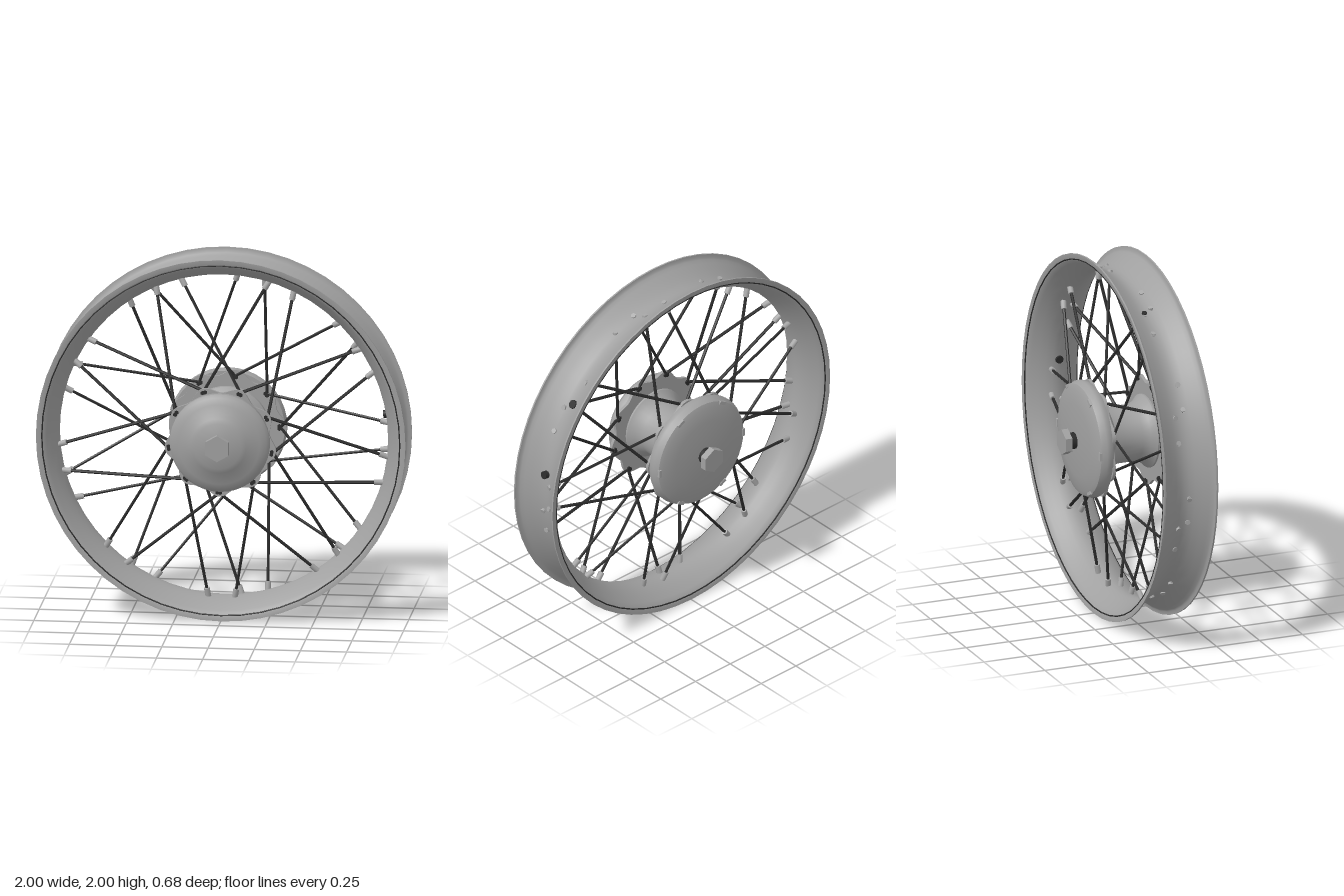
import * as THREE from 'three';
import { toCreasedNormals } from 'three/addons/utils/BufferGeometryUtils.js';

const mat = (name, color) => {
  const m = new THREE.MeshStandardMaterial({ color });
  m.name = name;
  return m;
};

export function createModel() {
  const metal = mat('grey metal', 0xa0a0a0);
  const bright = mat('nipple metal', 0xa8a8a8);
  const dark = mat('dark steel', 0x2c2c2c);

  const model = new THREE.Group();
  const wheel = new THREE.Group(); // wheel axis runs along z
  wheel.name = 'wheel';
  wheel.position.y = 1;
  model.add(wheel);

  const add = (name, geo, material, parent = wheel) => {
    const mesh = new THREE.Mesh(geo, material);
    mesh.name = name;
    parent.add(mesh);
    return mesh;
  };
  // Turned part: points are [radius, z], listed from back to front
  const turned = (name, pts, sides, material = metal) => {
    const geo = new THREE.LatheGeometry(pts.map(([r, z]) => new THREE.Vector2(r, z)), sides);
    geo.rotateX(Math.PI / 2);
    return add(name, toCreasedNormals(geo, 0.6), material);
  };
  // Rod between two points
  const rod = (name, a, b, radius, sides, material, parent) => {
    const geo = new THREE.CylinderGeometry(radius, radius, a.distanceTo(b), sides);
    const mesh = add(name, toCreasedNormals(geo, 1.1), material, parent);
    mesh.position.copy(a).add(b).multiplyScalar(0.5);
    mesh.quaternion.setFromUnitVectors(new THREE.Vector3(0, 1, 0), b.clone().sub(a).normalize());
    return mesh;
  };
  const polar = (r, deg, z) => {
    const t = THREE.MathUtils.degToRad(deg);
    return new THREE.Vector3(r * Math.cos(t), r * Math.sin(t), z);
  };

  // Rim: thin trough section with raised lips
  const half = [[0.905, 0], [0.908, 0.025], [0.92, 0.055], [0.94, 0.09], [0.96, 0.12], [0.972, 0.138], [0.982, 0.145], [1, 0.147]];
  const outer = [...half.slice(1).reverse().map(([r, z]) => [r, -z]), ...half];
  const halfIn = [[0.888, 0], [0.891, 0.025], [0.903, 0.06], [0.923, 0.095], [0.945, 0.127], [0.96, 0.146], [0.975, 0.154], [1, 0.156]];
  const inner = [...halfIn.slice(1).reverse(), ...halfIn.map(([r, z]) => [r, -z])];
  turned('rim', [...outer, ...inner, outer[0]], 56);
  // Dark seam inside each lip
  for (const s of [-1, 1]) {
    add('rimSeam', new THREE.TorusGeometry(0.969, 0.004, 6, 56), dark).position.z = s * 0.151;
  }

  // Hub barrel with a stepped shoulder at the back
  turned('hubBarrel', [[0, -0.17], [0.23, -0.17], [0.23, -0.125], [0.2, -0.11], [0.17, -0.09], [0.155, -0.04],
    [0.155, 0.07], [0.17, 0.11], [0.2, 0.14], [0.2, 0.17], [0, 0.17]], 36);
  // Front cover: bell with a flat nose
  turned('frontCover', [[0, 0.165], [0.265, 0.165], [0.27, 0.175], [0.27, 0.205], [0.255, 0.225], [0.22, 0.238],
    [0.18, 0.254], [0.15, 0.27], [0.125, 0.283], [0, 0.285]], 40);
  // Back cover: shallow dome
  turned('backCover', [[0, -0.266], [0.1, -0.264], [0.2, -0.257], [0.28, -0.246], [0.305, -0.235], [0.32, -0.205],
    [0.32, -0.185], [0.31, -0.165], [0, -0.165]], 40);

  // Scalloped spoke flanges with nine lobes
  const flange = (name, z, lobeAngle, base, wave) => {
    const pts = [];
    for (let i = 0; i < 108; i++) {
      const a = (i / 108) * 360;
      const p = polar(base + wave * Math.cos(THREE.MathUtils.degToRad(9 * (a - lobeAngle))), a, 0);
      pts.push(new THREE.Vector2(p.x, p.y));
    }
    const geo = new THREE.ExtrudeGeometry(new THREE.Shape(pts), { depth: 0.018, bevelEnabled: false });
    geo.translate(0, 0, z);
    add(name, toCreasedNormals(geo, 0.6), metal);
  };
  flange('frontFlange', 0.15, 29, 0.287, 0.018);
  flange('backFlange', -0.168, 1, 0.305, 0.018);

  // Small clips around the back cover
  for (let i = 0; i < 6; i++) {
    const clip = add('coverClip', new THREE.BoxGeometry(0.018, 0.045, 0.022), bright);
    clip.position.copy(polar(0.298, i * 60, -0.234));
    clip.rotation.z = (i * Math.PI) / 3;
  }

  // Axle ends and hexagonal nuts
  for (const [side, s] of [['front', 1], ['back', -1]]) {
    rod(side + 'Axle', new THREE.Vector3(0, 0, s * 0.25), new THREE.Vector3(0, 0, s * 0.312), 0.045, 20, dark);
    const nut = new THREE.CylinderGeometry(0.072, 0.072, 0.038, 6).toNonIndexed();
    nut.computeVertexNormals();
    nut.rotateX(Math.PI / 2);
    add(side + 'Nut', nut, metal).position.z = s * 0.322;
  }

  // Spokes: nine groups of four; [rim offset, sweep to hub, side]
  const pattern = [[-10, -38, 1], [-1.2, 36, 1], [1.2, -36, -1], [10, 38, -1]];
  const spokes = new THREE.Group();
  spokes.name = 'spokes';
  wheel.add(spokes);
  for (let g = 0; g < 9; g++) {
    for (const [offset, sweep, s] of pattern) {
      const angle = 35 + g * 40 + offset;
      const seat = polar(0.908, angle, s * 0.026);
      const hubEnd = polar(0.283, angle + sweep, s * 0.155);
      const dir = hubEnd.clone().sub(seat).normalize();
      rod('spoke', seat, hubEnd, 0.0085, 6, dark, spokes);
      // Nipple on the rim and its head outside
      rod('nipple', seat, seat.clone().addScaledVector(dir, 0.062), 0.016, 8, bright, spokes);
      rod('nippleHead', seat.clone().addScaledVector(dir, -0.009), seat, 0.014, 8, bright, spokes);
      // Elbow through the flange
      rod('spokeElbow', hubEnd.clone().setZ(s * 0.142), hubEnd.clone().setZ(s * 0.174), 0.0115, 6, dark, spokes);
    }
  }

  // Valve stem and a few dark plugs on the outside of the rim
  rod('valve', polar(0.875, 9, 0.01), polar(0.928, 9, 0.01), 0.022, 10, dark);
  for (const [angle, z] of [[36.5, -0.026], [-35.5, -0.026], [-52, 0.028], [116, -0.026]]) {
    rod('rimPlug', polar(0.9, angle, z), polar(0.922, angle, z), angle > 90 ? 0.014 : 0.024, 10, dark);
  }
  return model;
}
